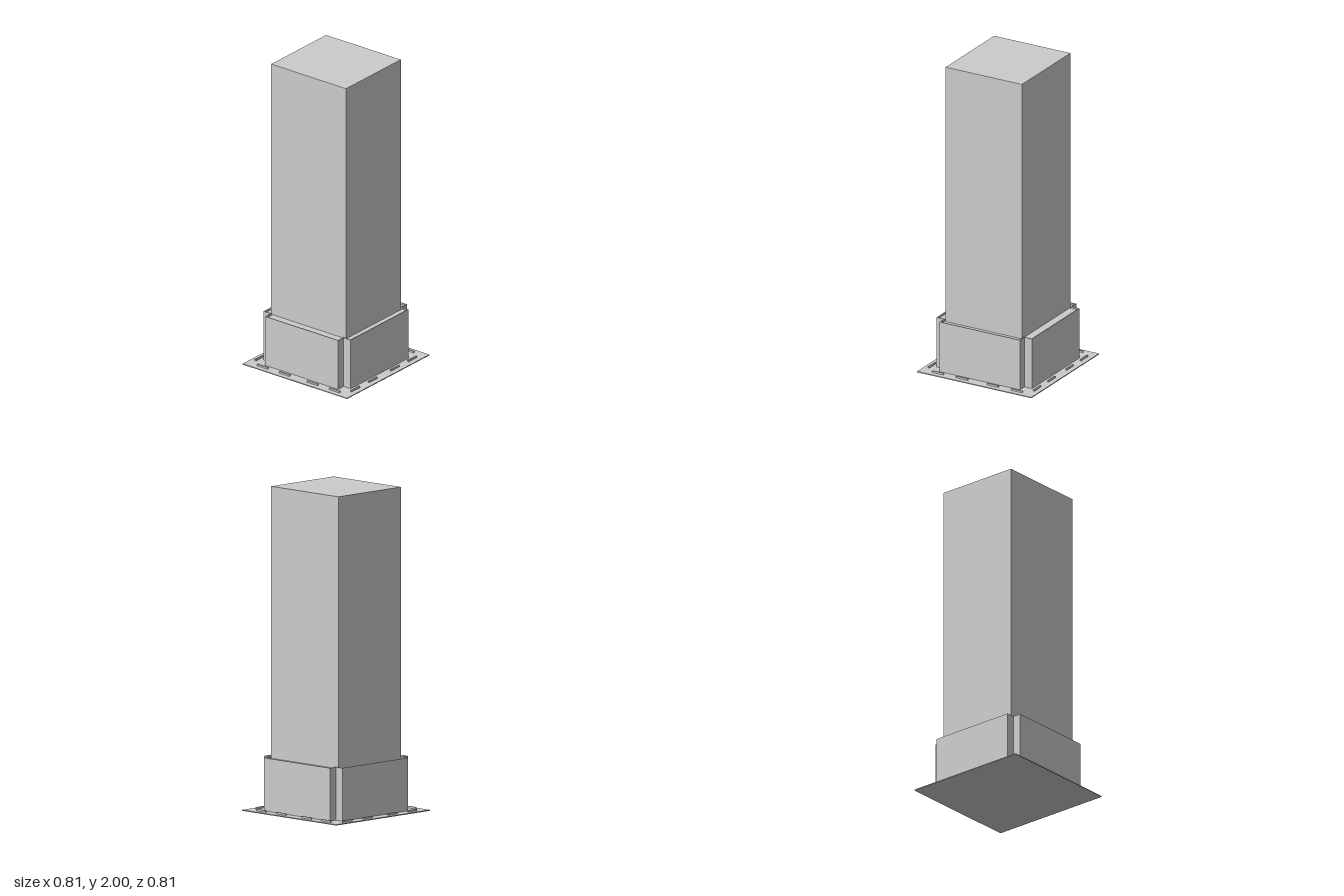
import * as THREE from 'three';

const material = new THREE.MeshStandardMaterial({ color: 0xcccccc, flatShading: true });
const PLATE = 0.006, ROOF = 0.322, PARAPET = 0.333;

// Square outline with a notch cut from each corner
function notchedPoints(outer, inner) {
  const quarter = [[outer, inner], [inner, inner], [inner, outer]];
  const points = [];
  for (let i = 0; i < 4; i++) {
    for (const [x, y] of quarter) {
      const p = new THREE.Vector2(x, y).rotateAround(new THREE.Vector2(), i * Math.PI / 2);
      points.push(p);
    }
  }
  return points;
}

// Extrude a plan outline upward from y0 to y1
function extrudeUp(shape, y0, y1) {
  const geometry = new THREE.ExtrudeGeometry(shape, { depth: y1 - y0, bevelEnabled: false });
  geometry.rotateX(-Math.PI / 2);
  geometry.translate(0, y0, 0);
  return geometry;
}

export function createModel() {
  const group = new THREE.Group();
  const add = (name, geometry, x = 0, y = 0, z = 0) => {
    const mesh = new THREE.Mesh(geometry, material);
    mesh.name = name;
    mesh.position.set(x, y, z);
    group.add(mesh);
  };

  // Thin ground slab
  add('plaza', new THREE.BoxGeometry(0.81, PLATE, 0.81), 0, PLATE / 2, 0);

  // Notched podium with a thin parapet around its roof
  add('podium', extrudeUp(new THREE.Shape(notchedPoints(0.338, 0.284)), PLATE, ROOF));
  const rim = new THREE.Shape(notchedPoints(0.338, 0.284));
  rim.holes.push(new THREE.Path(notchedPoints(0.332, 0.278)));
  add('parapet', extrudeUp(rim, ROOF, PARAPET));

  // Main shaft
  add('tower', new THREE.BoxGeometry(0.54, 2 - ROOF, 0.58), 0, (2 + ROOF) / 2, 0);

  // Low benches, four along each side of the plaza
  const top = 0.017, height = top - PLATE, y = PLATE + height / 2;
  const alongX = new THREE.BoxGeometry(0.081, height, 0.009);
  const alongZ = new THREE.BoxGeometry(0.009, height, 0.081);
  for (const c of [-0.277, -0.106, 0.111, 0.282]) {
    add('benchFront', alongX, c, y, 0.368);
    add('benchBack', alongX, c - 0.008, y, -0.37);
    add('benchRight', alongZ, -0.37, y, c);
    add('benchLeft', alongZ, 0.368, y, c - 0.008);
  }
  return group;
}
